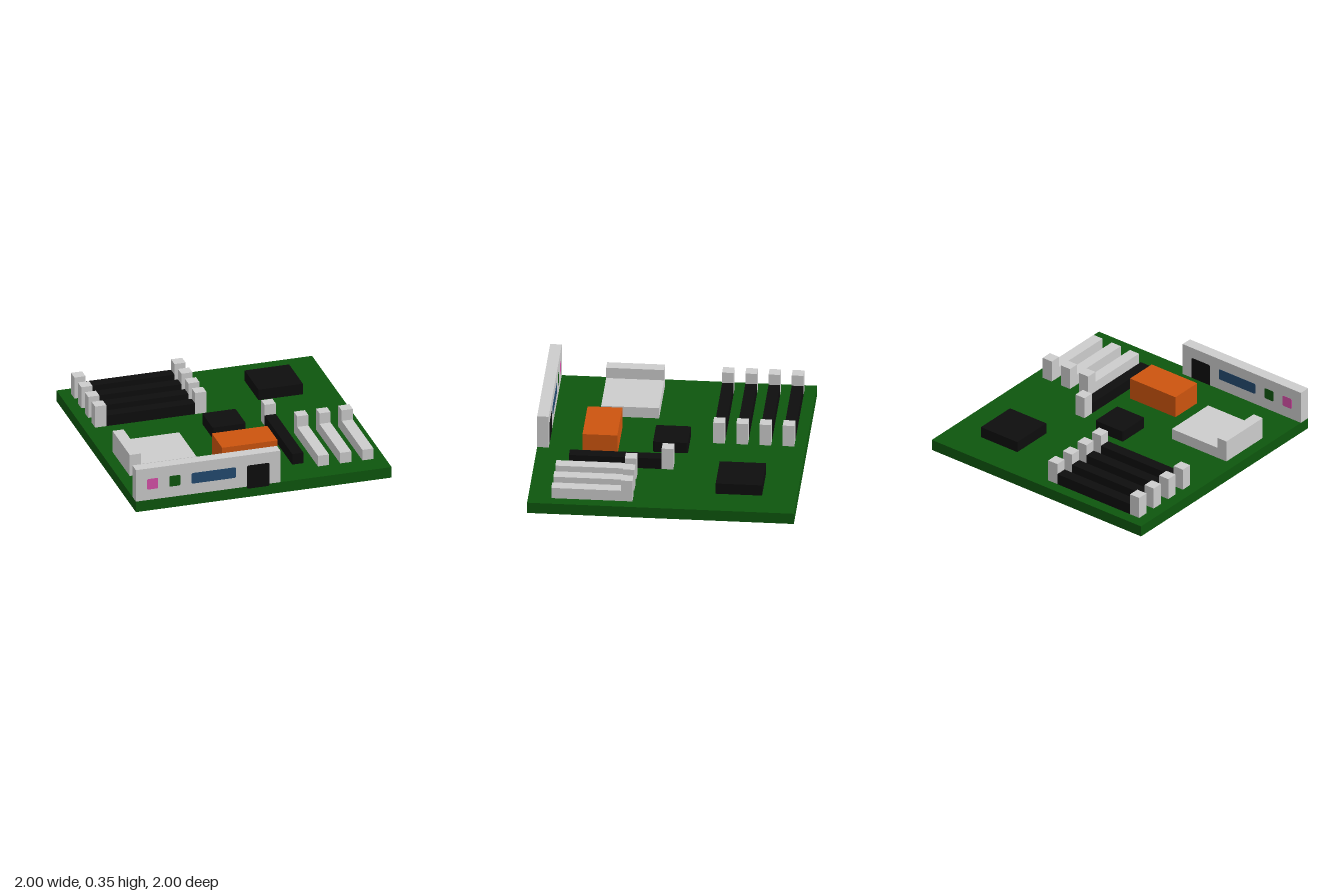
import * as THREE from 'three';

const U = 2 / 23; // one grid cell of the layout

export function createModel() {
  const model = new THREE.Group();
  model.name = 'circuitBoard';

  const mat = (name, color) => {
    const m = new THREE.MeshStandardMaterial({ color });
    m.name = name;
    return m;
  };
  const green = mat('boardGreen', 0x0d560d);
  const grey = mat('lightGrey', 0xcccccc);
  const black = mat('black', 0x0d0d0d);
  const orange = mat('orange', 0xcc540e);
  const blue = mat('blue', 0x234a70);
  const pink = mat('pink', 0xd650a8);

  const add = (parent, name, geometry, material) => {
    const mesh = new THREE.Mesh(geometry, material);
    mesh.name = name;
    parent.add(mesh);
    return mesh;
  };

  // Box from its extents in cells; x and z count from the board's centre, y from its underside
  const box = (parent, name, material, x0, x1, y0, y1, z0, z1) => {
    const mesh = add(parent, name, new THREE.BoxGeometry((x1 - x0) * U, (y1 - y0) * U, (z1 - z0) * U), material);
    mesh.position.set((x0 + x1) * U / 2, (y0 + y1) * U / 2, (z0 + z1) * U / 2);
    return mesh;
  };

  // Rounded rectangle centred on the origin, extruded along z
  const roundedPlate = (w, h, depth, r = 0.013) => {
    const s = new THREE.Shape();
    const a = w / 2, b = h / 2;
    s.moveTo(-a + r, -b);
    s.lineTo(a - r, -b);
    s.quadraticCurveTo(a, -b, a, -b + r);
    s.lineTo(a, b - r);
    s.quadraticCurveTo(a, b, a - r, b);
    s.lineTo(-a + r, b);
    s.quadraticCurveTo(-a, b, -a, b - r);
    s.lineTo(-a, -b + r);
    s.quadraticCurveTo(-a, -b, -a + r, -b);
    const g = new THREE.ExtrudeGeometry(s, { depth, bevelEnabled: false, curveSegments: 4 });
    return g.translate(0, 0, -depth / 2);
  };

  const group = (name) => {
    const g = new THREE.Group();
    g.name = name;
    model.add(g);
    return g;
  };

  box(model, 'board', green, -11.5, 11.5, 0, 1, -11.5, 11.5);

  // Port panel, with ports showing on both faces
  const panel = group('portPanel');
  box(panel, 'panelPlate', grey, -11.5, 1.5, 1, 4, 10.5, 11.5);
  const ports = [
    ['pinkPort', pink, -10.5, -9.5, 2],
    ['greenPort', green, -8.5, -7.5, 2],
    ['bluePort', blue, -6.5, -2.5, 2],
    ['blackPort', black, -1.5, 0.5, 0.8],
  ];
  for (const [name, material, x0, x1, y0] of ports) {
    const port = add(panel, name, roundedPlate((x1 - x0) * U, (3 - y0) * U, U + 0.003), material);
    port.position.set((x0 + x1) * U / 2, (y0 + 3) * U / 2, 11 * U);
  }

  // Memory slots with a clip at each end
  for (let i = 0; i < 4; i++) {
    const slot = group('memorySlot' + (i + 1));
    const z = -10.5 + 2 * i;
    box(slot, 'slotBar', black, -9.5, -1.5, 1, 2, z, z + 1);
    for (const x of [-10.5, -1.5]) box(slot, 'slotClip', grey, x, x + 1, 1, 3, z, z + 1);
  }

  // Processor socket with a raised edge
  const socket = group('processorSocket');
  box(socket, 'socketBase', grey, -9.5, -4.5, 1, 2, 1.5, 6.5);
  box(socket, 'socketRidge', grey, -10.5, -9.5, 1, 3, 1.5, 6.5);

  // Chips and heat sink
  box(model, 'largeChip', black, 4.5, 8.5, 1, 2, -8.5, -4.5);
  const chip = add(model, 'centreChip', roundedPlate(3 * U, 3 * U, U), black);
  chip.rotation.x = -Math.PI / 2;
  chip.position.y = 1.5 * U;
  box(model, 'heatSink', orange, -2.5, 2.5, 1, 3, 4.5, 7.5);

  // Graphics slot with its clip
  const graphics = group('graphicsSlot');
  box(graphics, 'slotBar', black, 3.5, 4.5, 1, 2, 0.5, 8.5);
  box(graphics, 'slotClip', grey, 3.5, 4.5, 1, 3, -0.5, 0.5);

  // Expansion slots with a raised rear end
  for (let i = 0; i < 3; i++) {
    const slot = group('expansionSlot' + (i + 1));
    const x = 5.5 + 2 * i;
    box(slot, 'slotBar', grey, x, x + 1, 1, 2, 3.5, 9.5);
    box(slot, 'slotEnd', grey, x, x + 1, 2, 3, 2.5, 3.5);
    box(slot, 'slotEndBase', grey, x, x + 1, 1, 2, 2.5, 3.5);
  }

  return model;
}
